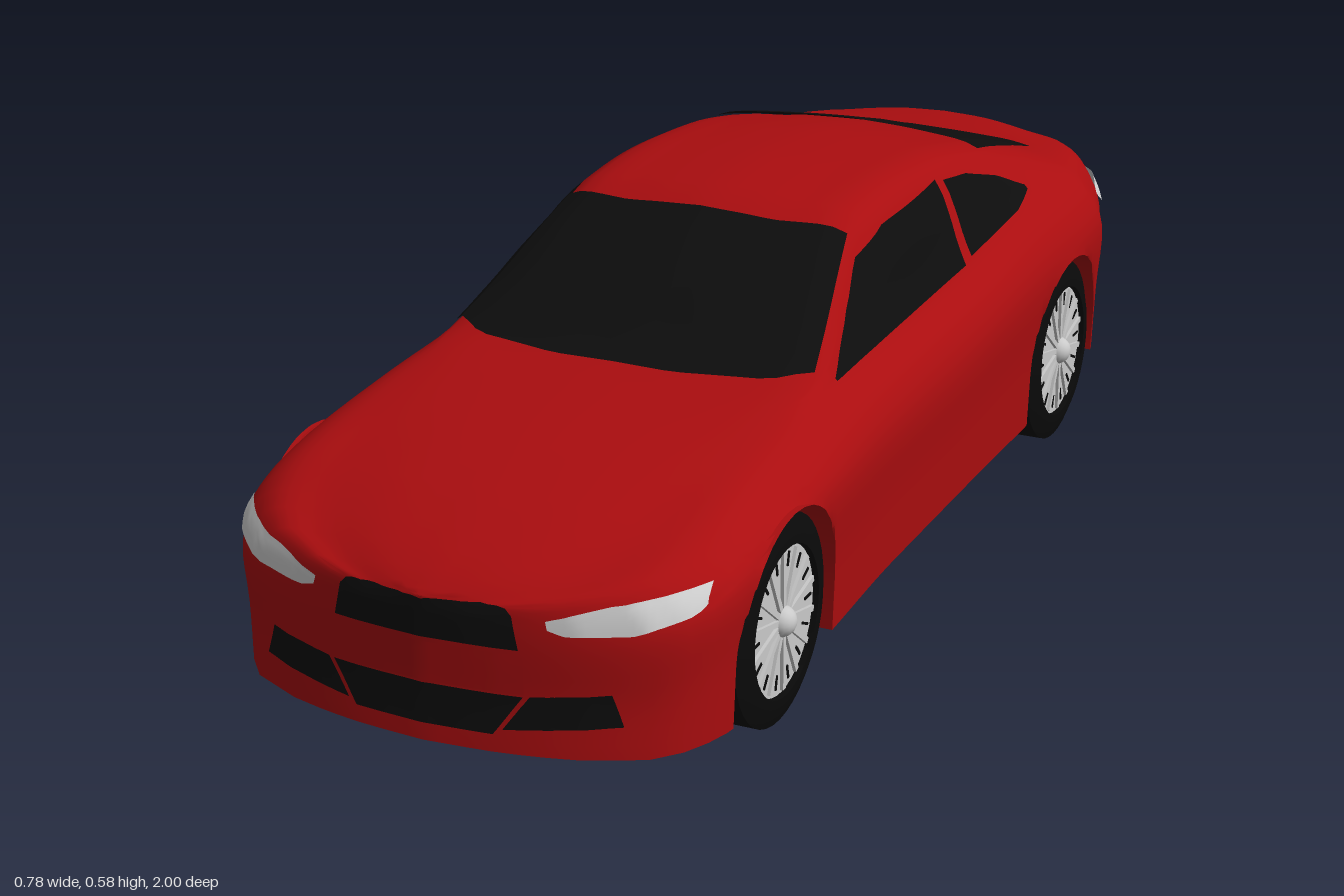
import * as THREE from 'three';
import { toCreasedNormals } from 'three/addons/utils/BufferGeometryUtils.js';

const mat = (name, color) => {
  const m = new THREE.MeshStandardMaterial({ color, side: THREE.DoubleSide });
  m.name = name;
  return m;
};

// Smooth monotone curve through [z, value] keys
function curve(...k) {
  const d = k.slice(1).map((p, i) => (p[1] - k[i][1]) / (p[0] - k[i][0]));
  const m = k.map((p, i) => {
    if (i === 0) return d[0];
    if (i === k.length - 1) return d[i - 1];
    return d[i - 1] * d[i] > 0 ? (2 * d[i - 1] * d[i]) / (d[i - 1] + d[i]) : 0;
  });
  return (z) => {
    z = THREE.MathUtils.clamp(z, k[0][0], k[k.length - 1][0]);
    let i = 0;
    while (i < k.length - 2 && z > k[i + 1][0]) i++;
    const h = k[i + 1][0] - k[i][0], t = (z - k[i][0]) / h, t2 = t * t, t3 = t2 * t;
    return (2 * t3 - 3 * t2 + 1) * k[i][1] + (t3 - 2 * t2 + t) * h * m[i]
      + (3 * t2 - 2 * t3) * k[i + 1][1] + (t3 - t2) * h * m[i + 1];
  };
}

const BACK = -0.985, FRONT = 0.99;
const AXLES = [0.63, -0.555], WHEEL_R = 0.155, ARCH_R = 0.168;

// Guide curves along the car
const halfWidth = curve([BACK, 0], [-0.98, 0.15], [-0.97, 0.24], [-0.94, 0.305], [-0.88, 0.333], [-0.8, 0.356],
  [-0.72, 0.384], [-0.6, 0.39], [-0.2, 0.38], [0.2, 0.378], [0.55, 0.388], [0.75, 0.387], [0.81, 0.38],
  [0.87, 0.358], [0.93, 0.3], [0.955, 0.23], [0.97, 0.17], [0.982, 0.1], [FRONT, 0]);
const bottomY = curve([BACK, 0.11], [-0.7, 0.098], [-0.3, 0.075], [FRONT, 0.065]);
const shoulderY = curve([BACK, 0.33], [-0.55, 0.33], [0, 0.3], [0.6, 0.3], [0.8, 0.275], [FRONT, 0.2]);
const beltY = curve([BACK, 0.405], [-0.75, 0.42], [-0.5, 0.43], [-0.2, 0.405], [0.3, 0.39], [0.5, 0.375],
  [0.7, 0.355], [0.85, 0.32], [0.95, 0.285], [FRONT, 0.262]);
const edgeX = curve([BACK, 0.6], [-0.8, 0.62], [0.08, 0.63], [0.2, 0.7], [0.36, 0.78], [0.5, 0.7], [FRONT, 0.6]);
const edgeY = curve([BACK, 0.418], [-0.8, 0.435], [-0.64, 0.475], [-0.48, 0.515], [-0.3, 0.545], [-0.1, 0.558],
  [0.04, 0.55], [0.1, 0.53], [0.25, 0.45], [0.36, 0.402], [0.5, 0.387], [0.65, 0.372], [0.8, 0.342],
  [0.9, 0.308], [FRONT, 0.27]);
const centreY = curve([BACK, 0.428], [-0.96, 0.436], [-0.8, 0.445], [-0.64, 0.495], [-0.48, 0.54], [-0.3, 0.572],
  [-0.1, 0.584], [0.05, 0.577], [0.12, 0.55], [0.25, 0.485], [0.4, 0.408], [0.5, 0.397], [0.65, 0.384],
  [0.8, 0.357], [0.9, 0.325], [0.95, 0.303], [FRONT, 0.275]);
// Tail and nose lean with height
const tailLean = curve([0.11, 0.01], [0.2, -0.015], [0.25, 0], [0.36, 0.035], [0.43, 0.018]);
const noseLean = curve([0.065, 0.01], [0.16, 0], [0.3, 0]);

function archY(z) {
  for (const c of AXLES) {
    const d = Math.abs(z - c);
    if (d < ARCH_R + 1e-6) return WHEEL_R + Math.sqrt(Math.max(0, ARCH_R ** 2 - d * d));
  }
  return -1;
}

// One closed cross-section, with the wheel arch cut from below
function section(z) {
  const w = halfWidth(z), yb = bottomY(z), ys = shoulderY(z), yB = beltY(z);
  const xe = w * edgeX(z), ye = edgeY(z), yc = centreY(z);
  const spline = new THREE.CatmullRomCurve3([
    [w * 0.973, yb], [w * 0.985, yb + (ys - yb) * 0.5], [w, ys], [w * 0.945, ys + (yB - ys) * 0.55],
    [w * 0.83, yB], [xe, ye], [xe * 0.55, ye + (yc - ye) * 0.72], [0, yc],
  ].map(([x, y]) => new THREE.Vector3(x, y, 0)), false, 'centripetal');
  const half = [new THREE.Vector3(0, yb, 0)];
  for (let i = 0; i <= 28; i++) half.push(spline.getPoint(i / 28));
  const tail = THREE.MathUtils.clamp((-z - 0.8) / 0.15, 0, 1), nose = THREE.MathUtils.clamp((z - 0.85) / 0.1, 0, 1);
  for (const p of half) {
    p.y = Math.max(p.y, archY(z));
    p.z = z + tail * tailLean(p.y) + nose * noseLean(p.y);
  }
  const mirrored = half.slice(1, -1).reverse().map((p) => new THREE.Vector3(-p.x, p.y, p.z));
  return [...half, ...mirrored];
}

function bodyGeometry() {
  const zs = [];
  for (let i = 0; i <= 56; i++) zs.push(THREE.MathUtils.lerp(BACK, FRONT, i / 56));
  for (const e of [0.002, 0.005, 0.009, 0.015, 0.022]) zs.push(BACK + e, FRONT - e);
  for (const c of AXLES) {
    for (let i = 0; i <= 18; i++) zs.push(c + ARCH_R * Math.cos((i / 18) * Math.PI));
    zs.push(c - ARCH_R - 0.0005, c + ARCH_R + 0.0005);
  }
  zs.sort((a, b) => a - b);
  const rings = zs.map(section), n = rings[0].length, index = [];
  for (let s = 0; s < rings.length - 1; s++) {
    for (let i = 0; i < n; i++) {
      const a = s * n + i, b = s * n + ((i + 1) % n);
      index.push(a, b, b + n, a, b + n, a + n);
    }
  }
  const g = new THREE.BufferGeometry().setFromPoints(rings.flat());
  g.setIndex(index);
  return toCreasedNormals(g, 0.6);
}

export function createModel() {
  const car = new THREE.Group();
  car.name = 'coupe';
  const paint = mat('red paint', 0xaa0d0f), glass = mat('black glass', 0x0d0d0d);
  const rubber = mat('black rubber', 0x0a0a0a), lamp = mat('lamp grey', 0xd0d0d0), silver = mat('wheel silver', 0xcacaca);
  const add = (parent, name, geo, material) => {
    const m = new THREE.Mesh(geo, material);
    m.name = name;
    parent.add(m);
    return m;
  };

  const body = add(car, 'body', bodyGeometry(), paint);

  // Thin panel laid on the body between an upper and a lower line, seen along one axis
  const ray = new THREE.Raycaster();
  function panel(name, material, axis, sign, upper, lower, lift = 0.006) {
    const U = 22, V = 6, pos = [], index = [];
    const [top, low] = [upper, lower].map((l) => new THREE.Path(l.map((p) => new THREE.Vector2(...p))));
    const dir = new THREE.Vector3();
    dir[axis] = -sign;
    let last = new THREE.Vector3();
    for (let i = 0; i <= U; i++) {
      for (let j = 0; j <= V; j++) {
        const p = top.getPoint(i / U).lerp(low.getPoint(i / U), j / V);
        const from = axis === 'x' ? new THREE.Vector3(sign * 3, p.y, p.x)
          : axis === 'y' ? new THREE.Vector3(p.x, sign * 3, p.y) : new THREE.Vector3(p.x, p.y, sign * 3);
        ray.set(from, dir);
        const hit = ray.intersectObject(body)[0];
        if (hit) {
          const k = hit.face.normal.dot(dir) > 0 ? -lift : lift;
          last = hit.point.clone().addScaledVector(hit.face.normal, k);
        }
        pos.push(last);
        if (i < U && j < V) {
          const a = i * (V + 1) + j, b = a + V + 1;
          index.push(a, a + 1, b, b, a + 1, b + 1);
        }
      }
    }
    const g = new THREE.BufferGeometry().setFromPoints(pos);
    g.setIndex(index);
    g.computeVertexNormals();
    add(car, name, g, material);
  }

  // Windscreen and rear window
  panel('windscreen', glass, 'y', 1, [[-0.235, 0.085], [-0.12, 0.105], [0.12, 0.105], [0.235, 0.085]],
    [[-0.292, 0.34], [-0.24, 0.385], [-0.1, 0.415], [0.1, 0.415], [0.24, 0.385], [0.292, 0.34]]);
  panel('rearWindow', glass, 'y', 1, [[-0.235, -0.755], [-0.19, -0.78], [0, -0.79], [0.19, -0.78], [0.235, -0.755]],
    [[-0.238, -0.475], [-0.12, -0.492], [0.12, -0.492], [0.238, -0.475]]);

  // Grilles and bumpers
  panel('upperGrille', glass, 'z', 1, [[-0.13, 0.265], [-0.12, 0.274], [0.12, 0.274], [0.13, 0.265]],
    [[-0.14, 0.218], [0.14, 0.218]]);
  panel('numberPanel', paint, 'z', 1, [[-0.147, 0.213], [0.147, 0.213]], [[-0.147, 0.155], [0.147, 0.155]], 0.009);
  panel('lowerGrille', glass, 'z', 1, [[-0.145, 0.15], [0.145, 0.15]], [[-0.105, 0.092], [0.105, 0.092]]);
  panel('rearDiffuser', glass, 'z', -1, [[-0.28, 0.178], [0.28, 0.178]], [[-0.25, 0.122], [0.25, 0.122]]);

  for (const s of [1, -1]) {
    const side = s > 0 ? 'left' : 'right', flip = (l) => l.map(([x, y]) => [s * x, y]);
    // Side glass
    panel(side + 'DoorWindow', glass, 'x', s, [[0.315, 0.396], [0.11, 0.51], [0, 0.532], [-0.235, 0.535]],
      [[0.315, 0.392], [-0.215, 0.406]]);
    panel(side + 'QuarterWindow', glass, 'x', s, [[-0.26, 0.528], [-0.35, 0.515], [-0.45, 0.485], [-0.525, 0.45]],
      [[-0.245, 0.412], [-0.45, 0.43], [-0.525, 0.444]]);
    // Lamps and intakes
    panel(side + 'Headlight', lamp, 'z', 1, flip([[0.175, 0.262], [0.25, 0.282], [0.355, 0.297]]),
      flip([[0.178, 0.25], [0.2, 0.243], [0.285, 0.246], [0.35, 0.265], [0.358, 0.275]]));
    panel(side + 'Intake', glass, 'z', 1, flip([[0.154, 0.151], [0.26, 0.162]]), flip([[0.118, 0.1], [0.275, 0.115]]));
    panel(side + 'TailLightSide', lamp, 'x', s, [[-0.77, 0.371], [-0.91, 0.374]], [[-0.775, 0.365], [-0.85, 0.333], [-0.91, 0.328]]);
    panel(side + 'TailLightRear', lamp, 'z', -1, flip([[0.16, 0.362], [0.315, 0.373]]),
      flip([[0.16, 0.353], [0.24, 0.336], [0.315, 0.33]]));
  }

  // Wheels and the floor between them
  const tyreGeo = toCreasedNormals(new THREE.LatheGeometry([[0, -0.095], [0.155, -0.095], [0.155, 0.084], [0.128, 0.095],
    [0.112, 0.095], [0.112, 0.08], [0, 0.08]].map((p) => new THREE.Vector2(...p)), 40), 0.5);
  const rimGeo = new THREE.CylinderGeometry(0.111, 0.111, 0.008, 40);
  const spokeGeo = new THREE.BoxGeometry(0.088, 0.006, 0.009);
  const slotGeo = new THREE.BoxGeometry(0.022, 0.003, 0.004);
  const hubGeo = new THREE.SphereGeometry(0.024, 16, 10);
  for (const z of AXLES) {
    const end = z > 0 ? 'front' : 'rear', y0 = bottomY(z);
    add(car, end + 'Floor', new THREE.BoxGeometry(0.376, 0.3 - y0, 2 * ARCH_R + 0.02), paint)
      .position.set(0, (0.3 + y0) / 2, z);
    for (const s of [1, -1]) {
      const wheel = new THREE.Group();
      wheel.name = end + (s > 0 ? 'Left' : 'Right') + 'Wheel';
      wheel.position.set(s * 0.283, WHEEL_R, z);
      wheel.rotation.z = (-s * Math.PI) / 2;
      add(wheel, 'tyre', tyreGeo, rubber);
      add(wheel, 'rim', rimGeo, silver).position.y = 0.082;
      add(wheel, 'hub', hubGeo, silver).position.y = 0.084;
      for (let i = 0; i < 14; i++) {
        for (const [name, geo, m, r, h, off] of [['spoke', spokeGeo, silver, 0.062, 0.088, 0],
          ['slot', slotGeo, rubber, 0.09, 0.0865, 0.5]]) {
          const a = ((i + off) / 14) * Math.PI * 2, part = add(wheel, name, geo, m);
          part.position.set(r * Math.cos(a), h, r * Math.sin(a));
          part.rotation.y = -a;
        }
      }
      car.add(wheel);
    }
  }
  return car;
}
